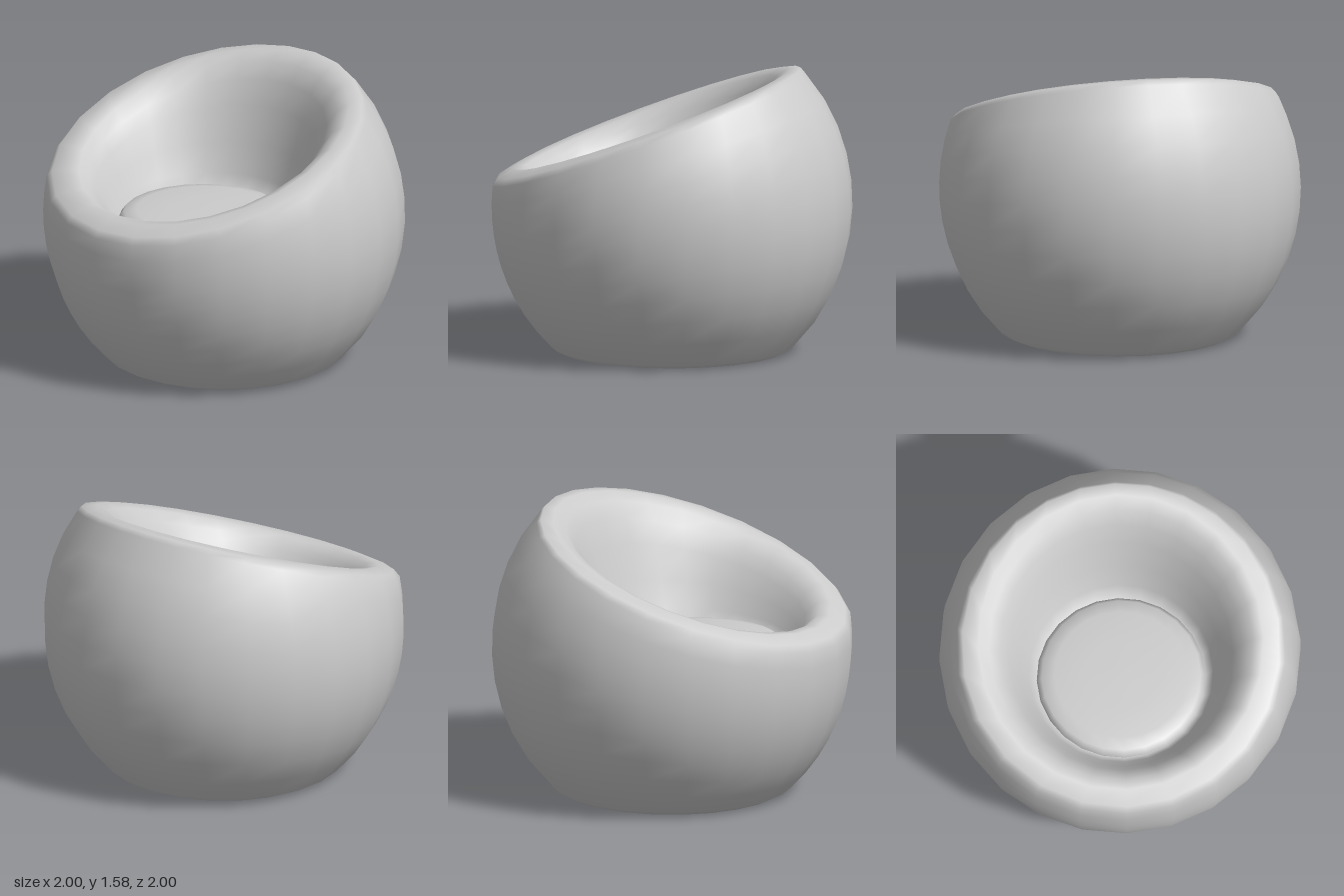
import * as THREE from 'three';

const SIDES = 24;
const SEAT_Y = 0.88, SEAT_Z = 0.16;
const material = new THREE.MeshStandardMaterial({ color: 0xcccccc });

const bulge = y => Math.sqrt(1 - ((y - 0.82) / 1.07) ** 2); // shell radius at a height
const rimPlane = z => 1.335 - 0.37 * z; // slanted cut of the opening
const lerp = THREE.MathUtils.lerp;

// Skins a list of rings; each ring is a function angle -> [x, y, z]
function loft(rings) {
  const positions = [], index = [];
  for (const ring of rings)
    for (let i = 0; i < SIDES; i++) positions.push(...ring((i / SIDES) * Math.PI * 2));
  for (let r = 0; r < rings.length - 1; r++)
    for (let i = 0; i < SIDES; i++) {
      const j = (i + 1) % SIDES;
      const a = r * SIDES + i, b = r * SIDES + j;
      index.push(a, b, b + SIDES, a, b + SIDES, a + SIDES);
    }
  const geometry = new THREE.BufferGeometry();
  geometry.setAttribute('position', new THREE.Float32BufferAttribute(positions, 3));
  geometry.setIndex(index);
  geometry.computeVertexNormals();
  return geometry;
}

// Where the round shell meets the slanted rim at a given angle
function rimEdge(a) {
  let y = 1.2;
  for (let k = 0; k < 30; k++) y = rimPlane(bulge(y) * Math.cos(a)) - 0.05;
  return [bulge(y) * Math.sin(a), y, bulge(y) * Math.cos(a)];
}

const flatRing = (radius, y) => a => [radius * Math.sin(a), y, radius * Math.cos(a)];

// Ring of the padded rim and well: t sinks it from the slanted plane to the seat
const wellRing = (rx, rz, cz, drop, t) => a => {
  const z = cz + rz * Math.cos(a);
  return [rx * Math.sin(a), lerp(rimPlane(z) - drop, SEAT_Y - 0.06, t), z];
};

export function createModel() {
  const group = new THREE.Group();
  group.name = 'roundArmchair';
  const add = (name, geometry) => {
    const mesh = new THREE.Mesh(geometry, material);
    mesh.name = name;
    group.add(mesh);
    return mesh;
  };

  // Body: base, bulging shell, rolled rim and inner well in one skin
  const rings = [flatRing(0.001, 0), flatRing(0.62, 0), flatRing(bulge(0.025), 0.025)];
  const steps = 10;
  for (let s = 1; s <= steps; s++)
    rings.push(a => {
      const y = lerp(0.025, rimEdge(a)[1], s / steps);
      return [bulge(y) * Math.sin(a), y, bulge(y) * Math.cos(a)];
    });
  const crest = wellRing(0.79, 0.765, 0.12, 0, 0);
  rings.push(a => {
    const e = rimEdge(a), c = crest(a);
    const z = lerp(c[2], e[2], 0.75);
    return [lerp(c[0], e[0], 0.75), rimPlane(z) - 0.018, z];
  });
  rings.push(
    crest,
    wellRing(0.73, 0.7, 0.125, 0.02, 0),
    wellRing(0.67, 0.65, 0.13, 0.06, 0.05),
    wellRing(0.62, 0.61, 0.14, 0.06, 0.25),
    wellRing(0.56, 0.56, 0.15, 0.06, 0.56),
    wellRing(0.51, 0.51, 0.155, 0.06, 0.84),
    wellRing(0.465, 0.465, SEAT_Z, 0, 1.03),
    wellRing(0.001, 0.001, SEAT_Z, 0, 1)
  );
  add('body', loft(rings));

  // Seat cushion: shallow disc with a rounded edge
  const profile = [[0.46, -0.09], [0.467, -0.05], [0.44, -0.015], [0.37, 0], [0.2, 0.008], [0, 0.01]]
    .map(([r, y]) => new THREE.Vector2(r, y));
  add('seatCushion', new THREE.LatheGeometry(profile, SIDES)).position.set(0, SEAT_Y, SEAT_Z);

  return group;
}
